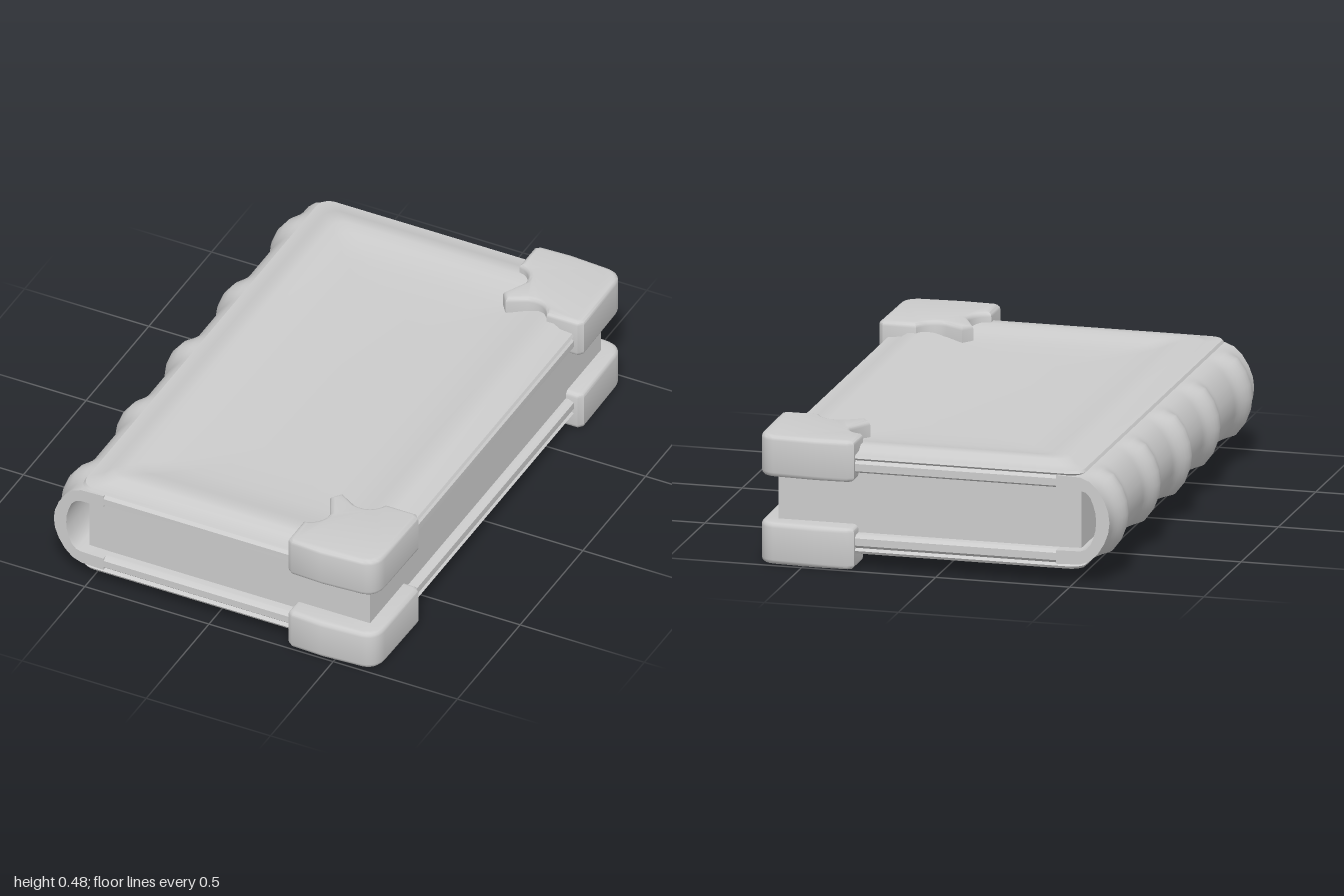
import * as THREE from 'three';
import { toCreasedNormals } from 'three/addons/utils/BufferGeometryUtils.js';

const MID = 0.24; // height of the plane between the two covers
const material = new THREE.MeshStandardMaterial({ color: 0xcccccc });

function part(name, geometry) {
  const mesh = new THREE.Mesh(geometry, material);
  mesh.name = name;
  return mesh;
}

// Skin equal-length closed rings and cap both ends; u, v are the cap plane axes.
function loft(rings, u, v, crease) {
  const n = rings[0].length, index = [];
  for (let k = 0; k < rings.length - 1; k++) {
    for (let i = 0; i < n; i++) {
      const a = k * n + i, b = k * n + (i + 1) % n;
      index.push(a, b, b + n, a, b + n, a + n);
    }
  }
  const last = (rings.length - 1) * n;
  const caps = (ring) => THREE.ShapeUtils.triangulateShape(ring.map((p) => new THREE.Vector2(p[u], p[v])), []);
  for (const [a, b, c] of caps(rings[0])) index.push(a, c, b);
  for (const [a, b, c] of caps(rings[rings.length - 1])) index.push(last + a, last + b, last + c);
  const geometry = new THREE.BufferGeometry().setFromPoints(rings.flat());
  geometry.setIndex(index);
  return toCreasedNormals(geometry, crease);
}

// Rounded rectangle around the cover outline, moved inward by inset.
function coverRing(inset, y) {
  const r = 0.05, cx = 0.05, hx = 0.59 - inset - r, hz = 0.97 - inset - r;
  const corners = [[1, 1], [-1, 1], [-1, -1], [1, -1]]; // signs of z, x
  const ring = [];
  corners.forEach(([sz, sx], q) => {
    for (let s = 0; s <= 5; s++) {
      const t = (q + s / 5) * Math.PI / 2;
      ring.push(new THREE.Vector3(cx + sx * hx + r * Math.sin(t), y, sz * hz + r * Math.cos(t)));
    }
  });
  return ring;
}

// Cover board: grooved edge, raised rim and shallow dished panel.
function coverGeometry() {
  const profile = [
    [0.02, 0.115], [0, 0.125], [0, 0.152], [0.012, 0.163], [0, 0.172], [0.006, 0.182],
    [0.055, 0.187], [0.08, 0.203], [0.12, 0.203], [0.16, 0.196], [0.2, 0.185],
    [0.27, 0.178], [0.36, 0.173], [0.48, 0.171],
  ];
  return loft(profile.map(([inset, y]) => coverRing(inset, y)), 'z', 'x', 0.7);
}

// Curved spine with five raised bands.
function spineGeometry() {
  const half = [[-0.44, 0.165], [-0.53, 0.162], [-0.565, 0.148], [-0.595, 0.12], [-0.62, 0.08], [-0.635, 0.04], [-0.64, 0]];
  const halfIn = [[-0.44, 0.115], [-0.53, 0.113], [-0.55, 0.107], [-0.568, 0.09], [-0.58, 0.06], [-0.588, 0.03], [-0.59, 0]];
  const mirrored = (pts) => [...pts, ...pts.slice(0, -1).reverse().map(([x, y]) => [x, -y])];
  const outer = mirrored(half), inner = mirrored(halfIn).reverse();
  const bands = [-0.83, -0.4, 0, 0.4, 0.83];
  const rings = [];
  for (let k = 0; k <= 96; k++) {
    const z = -0.97 + 1.94 * k / 96;
    let bump = 0;
    for (const b of bands) {
      const d = Math.abs(z - b) / 0.11;
      if (d < 1) bump = (b === 0 ? 0.036 : 0.03) * (0.5 + 0.5 * Math.cos(Math.PI * d));
    }
    rings.push([
      ...outer.map(([x, y]) => {
        const w = bump * THREE.MathUtils.smoothstep(-x, 0.54, 0.61);
        const len = Math.hypot(x + 0.5, y);
        return new THREE.Vector3(x + w * (x + 0.5) / len, y + w * y / len, z);
      }),
      ...inner.map(([x, y]) => new THREE.Vector3(x, y, z)),
    ]);
  }
  return loft(rings, 'x', 'y', 0.8);
}

// Corner guard with a pointed, scalloped inner edge; side is the sign of z.
function cornerGeometry(side) {
  const s = new THREE.Shape();
  const p = (x, z) => [x, -side * z];
  s.moveTo(...p(0.31, 0.98));
  s.lineTo(...p(0.31, 0.86));
  s.quadraticCurveTo(...p(0.37, 0.85), ...p(0.375, 0.78));
  s.lineTo(...p(0.33, 0.69));
  s.lineTo(...p(0.36, 0.65));
  s.lineTo(...p(0.43, 0.69));
  s.quadraticCurveTo(...p(0.5, 0.71), ...p(0.53, 0.64));
  s.lineTo(...p(0.655, 0.64));
  s.lineTo(...p(0.672, 0.66));
  s.lineTo(...p(0.668, 0.92));
  s.quadraticCurveTo(...p(0.665, 0.98), ...p(0.61, 0.99));
  s.lineTo(...p(0.45, 1));
  s.lineTo(...p(0.33, 0.995));
  const bevel = 0.018;
  const geometry = new THREE.ExtrudeGeometry(s, {
    depth: 0.155 - 2 * bevel, bevelThickness: bevel, bevelSize: bevel,
    bevelOffset: -bevel, bevelSegments: 3, curveSegments: 6,
  });
  geometry.rotateX(-Math.PI / 2).translate(0, 0.085 + bevel, 0);
  return toCreasedNormals(geometry, 0.7);
}

export function createModel() {
  const model = new THREE.Group();
  model.name = 'book';

  // Page block
  const pages = part('pages', new THREE.BoxGeometry(1.13, 0.236, 1.84));
  pages.position.set(0.043, MID, 0);
  model.add(pages);

  // Spine
  const spine = part('spine', spineGeometry());
  spine.position.y = MID;
  model.add(spine);

  // Two identical covers with corner guards, the lower one turned over
  const cover = coverGeometry();
  const corners = [cornerGeometry(1), cornerGeometry(-1)];
  ['upperCover', 'lowerCover'].forEach((name, i) => {
    const group = new THREE.Group();
    group.name = name;
    group.add(part('coverBoard', cover));
    corners.forEach((c) => group.add(part('cornerGuard', c)));
    group.position.y = MID;
    group.rotation.x = i * Math.PI;
    model.add(group);
  });

  return model;
}
